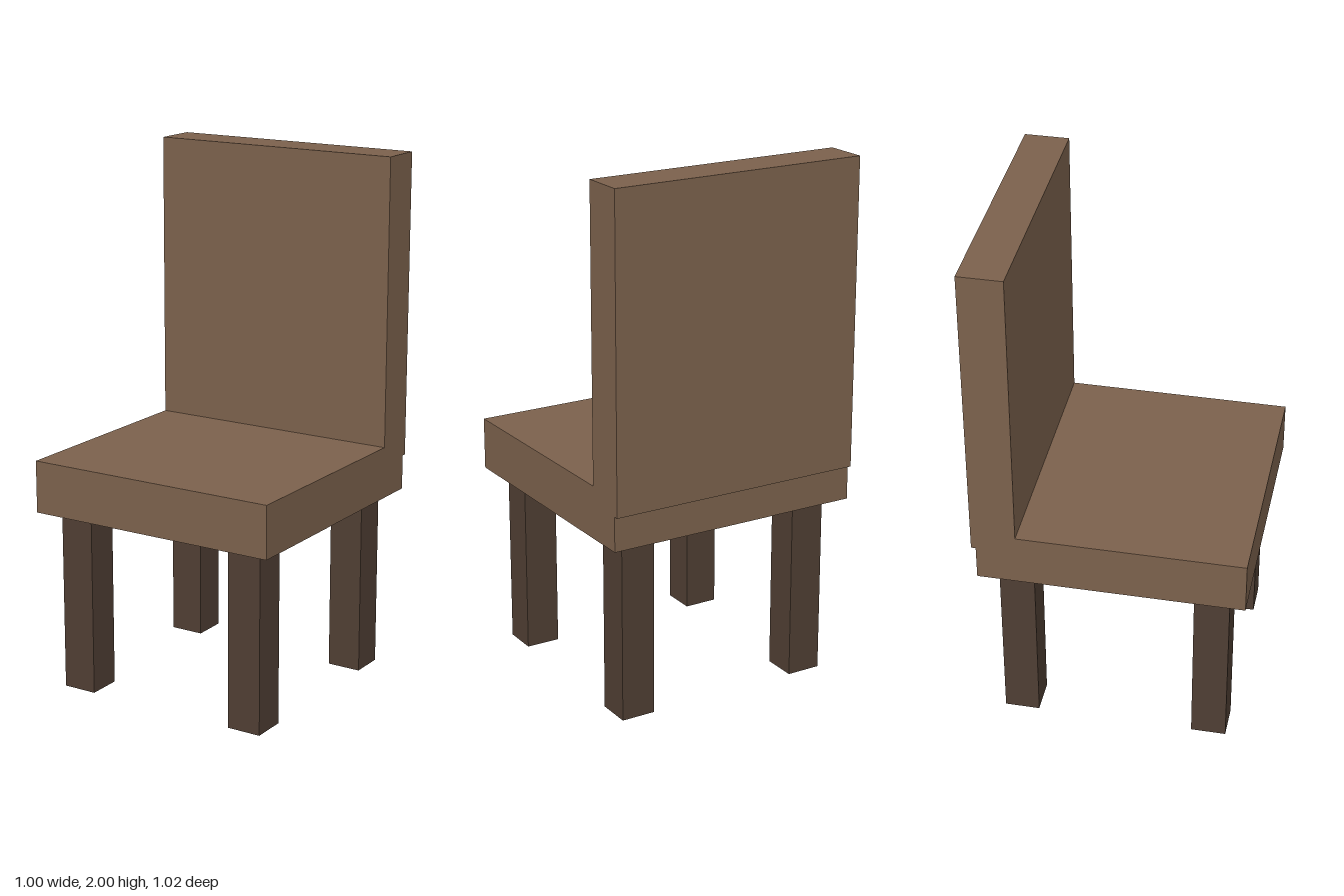
import * as THREE from 'three';

export function createModel() {
  const chair = new THREE.Group();
  chair.name = 'chair';

  const wood = new THREE.MeshStandardMaterial({ color: 0x7b614c });
  wood.name = 'brown wood';
  const darkWood = new THREE.MeshStandardMaterial({ color: 0x4f3e33 });
  darkWood.name = 'dark brown wood';

  // Box given by its size and the centre of its underside
  function addBox(name, material, [w, h, d], [x, y, z]) {
    const mesh = new THREE.Mesh(new THREE.BoxGeometry(w, h, d), material);
    mesh.name = name;
    mesh.position.set(x, y + h / 2, z);
    chair.add(mesh);
  }

  const seatZ = 0.009;

  // Seat slab, and a backrest that overhangs it slightly at the rear
  addBox('seat', wood, [1, 0.2, 1], [0, 0.7, seatZ]);
  addBox('backrest', wood, [1, 1.167, 0.167], [0, 0.833, -0.425]);

  // Four square legs, set in from the seat corners
  for (const [side, sx] of [['Left', 1], ['Right', -1]]) {
    for (const [end, sz] of [['front', 1], ['back', -1]]) {
      addBox(`${end}${side}Leg`, darkWood, [0.133, 0.7, 0.133],
        [sx * 0.367, 0, seatZ + sz * 0.367]);
    }
  }

  return chair;
}
